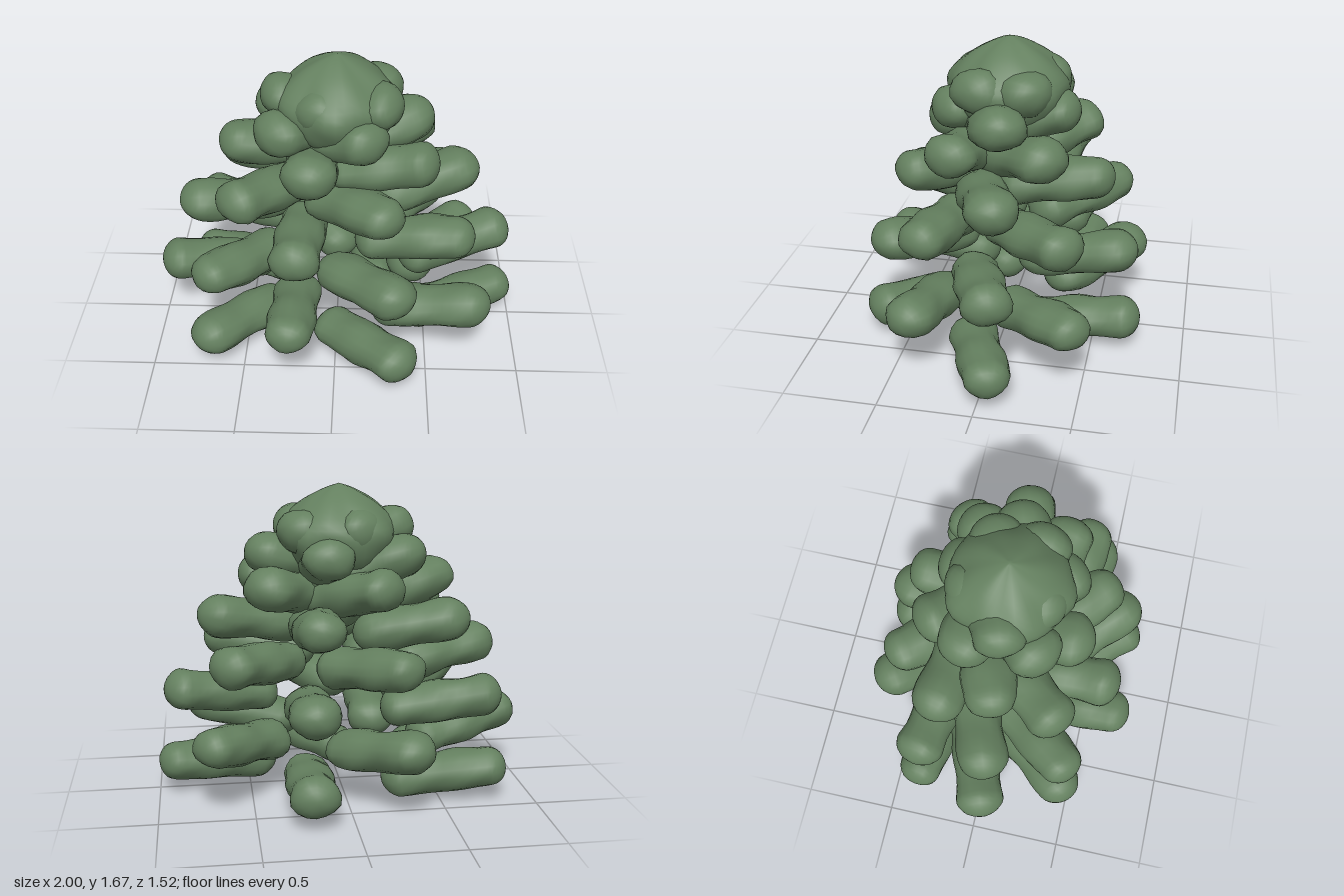
import * as THREE from 'three';
import { mergeVertices } from 'three/addons/utils/BufferGeometryUtils.js';

const foliage = new THREE.MeshStandardMaterial({ color: 0x64805f });
foliage.name = 'pine green';

const DEPTH = 0.78; // the tree is shallower in z than in x
const SWIRL = THREE.MathUtils.degToRad(17); // boughs leave the axis off-centre

// Weld seams after moving the vertices, then shade smoothly.
function smooth(geometry) {
  geometry.deleteAttribute('uv');
  geometry.deleteAttribute('normal');
  const welded = mergeVertices(geometry, 1e-4);
  welded.computeVertexNormals();
  return welded;
}

// Lumpy sausage-shaped bough between two end centres, wider than it is thick.
function bough(start, end, radius, width, seed) {
  const length = start.distanceTo(end);
  const g = new THREE.CapsuleGeometry(radius, length, 7, 16, 10);
  const p = g.attributes.position;
  for (let i = 0; i < p.count; i++) {
    const x = p.getX(i), y = p.getY(i), z = p.getZ(i);
    const a = Math.atan2(z, x);
    const lump = 1 + 0.05 * Math.sin(y * 21 + seed * 2.1)
      + 0.03 * Math.sin(3 * a + y * 11 + seed) + 0.02 * Math.sin(5 * a - y * 23 + seed * 3);
    p.setXYZ(i, x * lump * width / radius, y, z * lump);
  }
  const mesh = new THREE.Mesh(smooth(g), foliage);
  const along = end.clone().sub(start).normalize();
  const side = new THREE.Vector3(0, 1, 0).cross(along).normalize();
  const up = side.clone().cross(along);
  mesh.quaternion.setFromRotationMatrix(new THREE.Matrix4().makeBasis(side, along, up));
  mesh.position.copy(start).lerp(end, 0.5);
  return mesh;
}

// Lumpy body of revolution.
function lumpyLathe(profile, amount) {
  const curve = new THREE.SplineCurve(profile.map(([r, y]) => new THREE.Vector2(r, y)));
  const points = curve.getPoints(24);
  points.forEach((v) => { v.x = Math.max(v.x, 0); });
  const g = new THREE.LatheGeometry(points, 40);
  const p = g.attributes.position;
  for (let i = 0; i < p.count; i++) {
    const x = p.getX(i), y = p.getY(i), z = p.getZ(i);
    const a = Math.atan2(z, x);
    const k = 1 + amount * (Math.sin(5 * a + 0.4 + y * 4) + 0.5 * Math.sin(8 * a - y * 17));
    p.setXYZ(i, x * k, y, z * k);
  }
  return new THREE.Mesh(smooth(g), foliage);
}

export function createModel() {
  const tree = new THREE.Group();
  tree.name = 'pineTree';

  // Tiers from bottom to top: outer reach, tip height, inner height, length, half thickness, half width
  const tiers = [
    [1.00, 0.175, 0.12, 0.46, 0.108, 0.128],
    [1.00, 0.375, 0.29, 0.44, 0.108, 0.130],
    [0.96, 0.58, 0.51, 0.43, 0.108, 0.130],
    [0.87, 0.78, 0.72, 0.42, 0.110, 0.132],
    [0.77, 0.98, 0.91, 0.40, 0.112, 0.135],
    [0.63, 1.16, 1.08, 0.36, 0.113, 0.140],
    [0.51, 1.31, 1.23, 0.28, 0.115, 0.145],
    [0.40, 1.44, 1.37, 0.22, 0.115, 0.145],
  ];
  tiers.forEach(([reach, tipY, innerY, length, radius, width], t) => {
    const tier = new THREE.Group();
    tier.name = 'boughTier' + (t + 1);
    const offset = t % 2 === 0 ? -4 : 34; // alternate tiers fill each other's gaps
    for (let i = 0; i < 5; i++) {
      const a = THREE.MathUtils.degToRad(offset + 72 * i);
      const dir = new THREE.Vector3(Math.cos(a), 0, Math.sin(a) * DEPTH);
      const heading = Math.atan2(dir.z, dir.x) - SWIRL;
      const end = dir.clone().setLength(reach * dir.length() - radius);
      const start = end.clone().sub(
        new THREE.Vector3(Math.cos(heading), 0, Math.sin(heading)).multiplyScalar(length));
      const mesh = bough(start.setY(innerY), end.setY(tipY), radius, width, t * 5 + i);
      mesh.name = 'bough';
      tier.add(mesh);
    }
    tree.add(tier);
  });

  // Rounded crown at the top
  const crown = lumpyLathe([[0, 1.17], [0.22, 1.23], [0.31, 1.35], [0.315, 1.46], [0.21, 1.57], [0.09, 1.642], [0, 1.675]], 0.04);
  crown.name = 'crown';
  tree.add(crown);

  // Dense heart where the upper boughs meet
  const heart = lumpyLathe([[0, 0.88], [0.09, 0.92], [0.17, 1.05], [0.23, 1.2], [0.22, 1.34], [0, 1.42]], 0.04);
  heart.name = 'foliageHeart';
  tree.add(heart);

  return tree;
}
